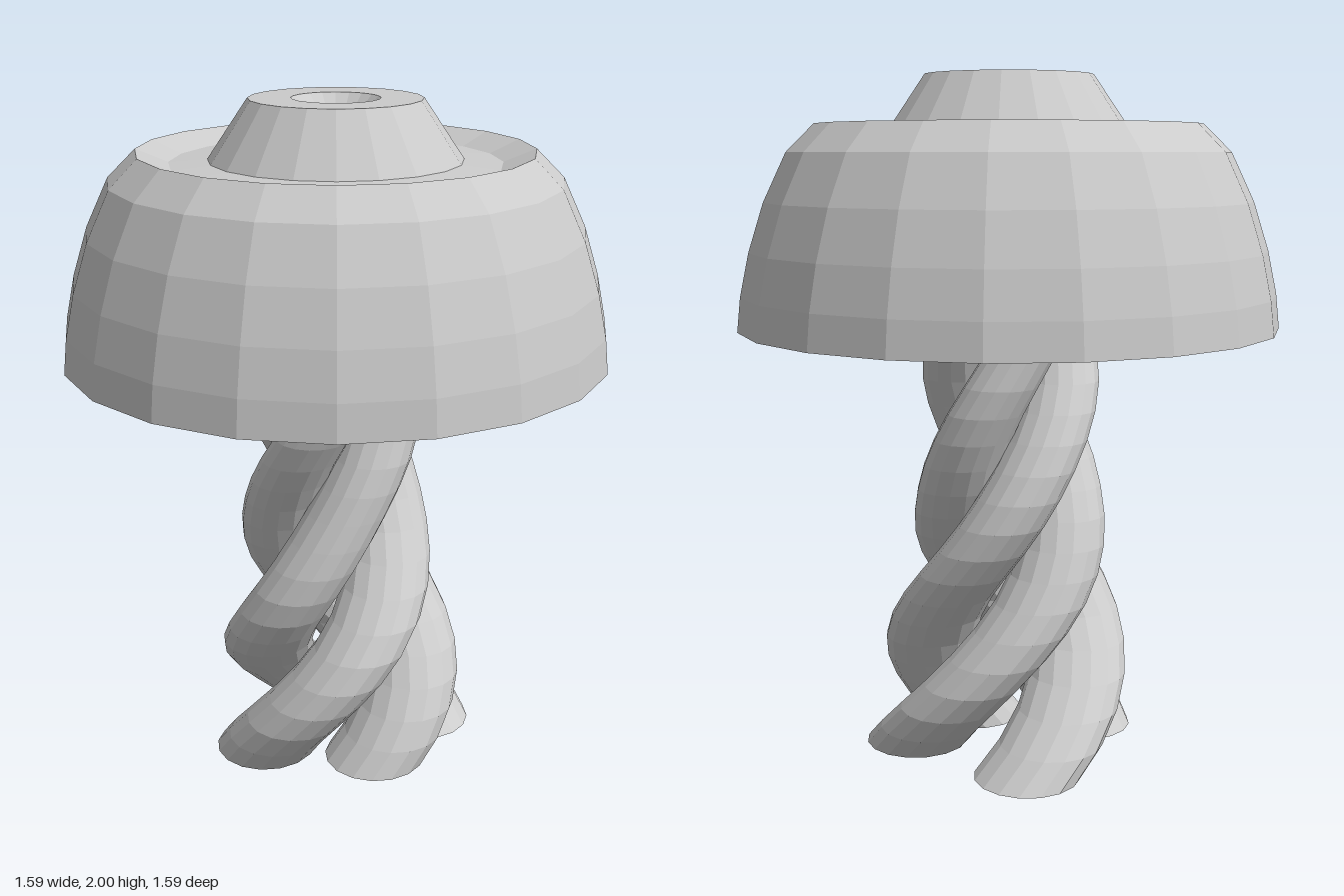
import * as THREE from 'three';

const material = new THREE.MeshStandardMaterial({
  color: 0xcccccc, flatShading: true, side: THREE.DoubleSide,
});

// Twisted bundle: axis drift (x, z) and twist radius (y), one key per 0.4 of height
const bundle = new THREE.CatmullRomCurve3([
  [0.02, 0.265, -0.065], [0.01, 0.213, -0.005], [0.01, 0.156, -0.055],
  [0.0, 0.157, -0.02], [0.0, 0.14, 0.0], [0.0, 0.12, 0.0],
].map((p) => new THREE.Vector3(...p)));

// How far each strand's foot is splayed in x and z
const footSplay = [[0.04, -0.01], [0, 0.085], [0.01, 0], [0.005, 0.085]];

// One strand: horizontal rings whose centres spiral upwards
function createStrand(startAngle, [splayX, splayZ]) {
  const height = 1.92;
  const geometry = new THREE.CylinderGeometry(1, 1, height, 16, 24, true);
  geometry.translate(0, height / 2, 0);
  const pos = geometry.attributes.position;
  for (let i = 0; i < pos.count; i++) {
    const y = pos.getY(i);
    const key = bundle.getPoint(y / 2);
    const angle = startAngle + (y / 0.41) * (Math.PI / 2);
    const splay = Math.max(0, 1 - y / 0.5) ** 2;
    const r = 0.155 - 0.043 * y;
    pos.setX(i, key.x + Math.sin(angle) * key.y + splayX * splay + pos.getX(i) * r);
    pos.setZ(i, key.z + Math.cos(angle) * key.y + splayZ * splay + pos.getZ(i) * r);
  }
  geometry.computeVertexNormals();
  return new THREE.Mesh(geometry, material);
}

export function createModel() {
  const model = new THREE.Group();

  // Domed shade with a groove, a raised collar and a sunken funnel on top
  const profile = [
    [0.793, 1.275], [0.782, 1.375], [0.755, 1.5], [0.71, 1.64], [0.643, 1.78],
    [0.562, 1.86], [0.47, 1.823], [0.36, 1.832], [0.245, 2.0], [0.125, 2.0], [0, 1.87],
  ].map(([r, y]) => new THREE.Vector2(r, y));
  const shade = new THREE.Mesh(new THREE.LatheGeometry(profile, 20), material);
  shade.name = 'shade';
  model.add(shade);

  // Four strands wound around each other form the stem
  const stem = new THREE.Group();
  stem.name = 'stem';
  footSplay.forEach((splay, i) => {
    const strand = createStrand(i * Math.PI / 2 + 0.02, splay);
    strand.name = `stemStrand${i + 1}`;
    stem.add(strand);
  });
  model.add(stem);

  return model;
}
